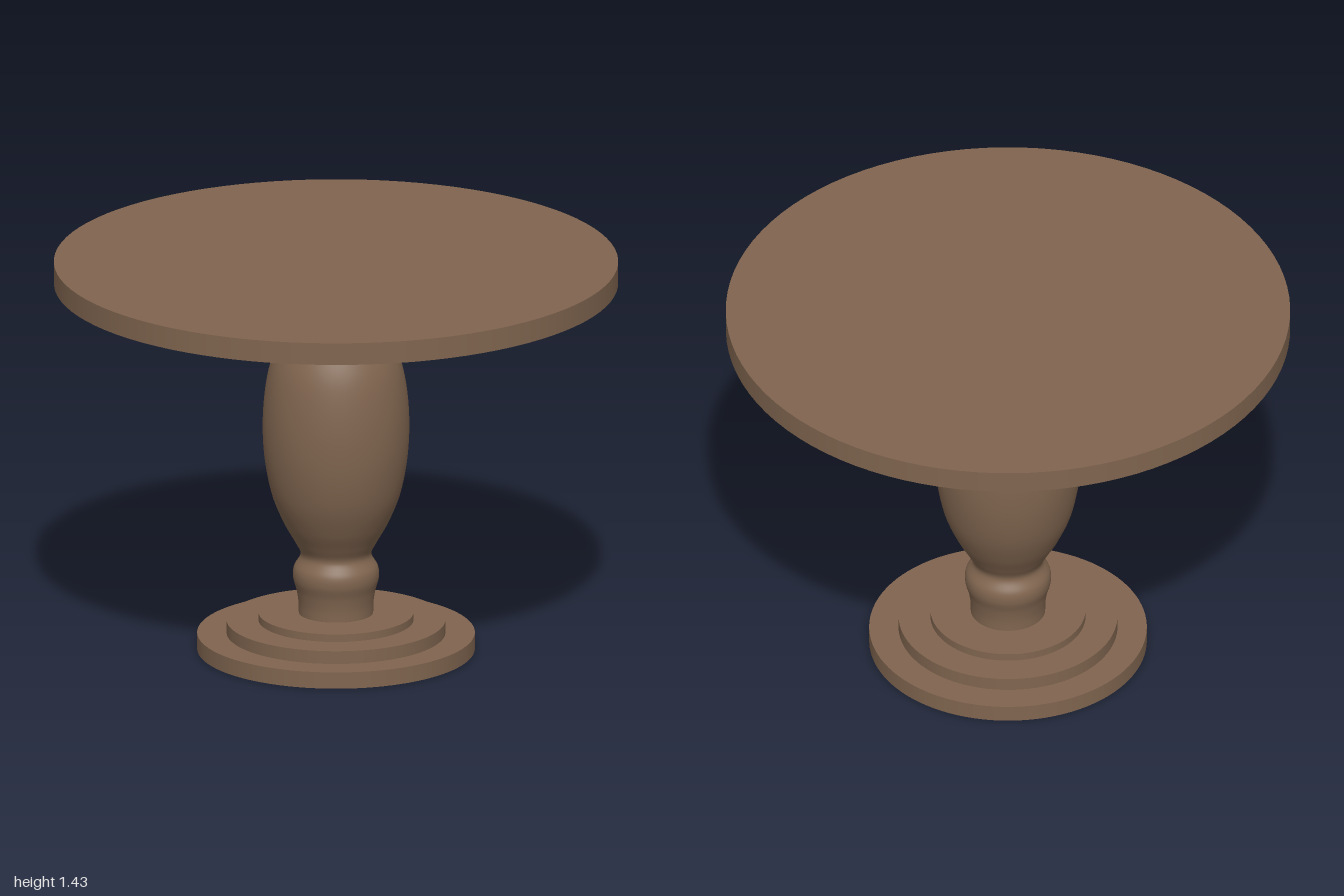
import * as THREE from 'three';

const wood = new THREE.MeshStandardMaterial({ color: 0x80654f });

// Flat round slab between two heights
function disc(name, radius, bottom, top) {
  const mesh = new THREE.Mesh(new THREE.CylinderGeometry(radius, radius, top - bottom, 96), wood);
  mesh.name = name;
  mesh.position.y = (bottom + top) / 2;
  return mesh;
}

// Smooth run of profile points from [radius, height] pairs
function smoothProfile(pairs, divisions) {
  return new THREE.SplineCurve(pairs.map(([r, y]) => new THREE.Vector2(r, y))).getPoints(divisions);
}

export function createModel() {
  const table = new THREE.Group();
  table.name = 'pedestalTable';

  // Round top
  table.add(disc('tableTop', 1, 1.353, 1.433));

  // Three stepped plinth discs
  table.add(disc('lowerBase', 0.492, 0, 0.06));
  table.add(disc('middleBase', 0.388, 0.06, 0.107));
  table.add(disc('upperBase', 0.275, 0.107, 0.135));

  // Turned column: foot, bead, narrow neck, long swelling body, top collar
  const profile = smoothProfile([
    [0.132, 0.135], [0.133, 0.175], [0.14, 0.22], [0.152, 0.265], [0.149, 0.305],
    [0.125, 0.352], [0.146, 0.4], [0.185, 0.47], [0.226, 0.57], [0.251, 0.69],
    [0.26, 0.81], [0.255, 0.93], [0.237, 1.04], [0.207, 1.12], [0.168, 1.185],
    [0.143, 1.237], [0.15, 1.28], [0.152, 1.353],
  ], 100);
  const column = new THREE.Mesh(new THREE.LatheGeometry(profile, 64), wood);
  column.name = 'turnedColumn';
  table.add(column);

  return table;
}
